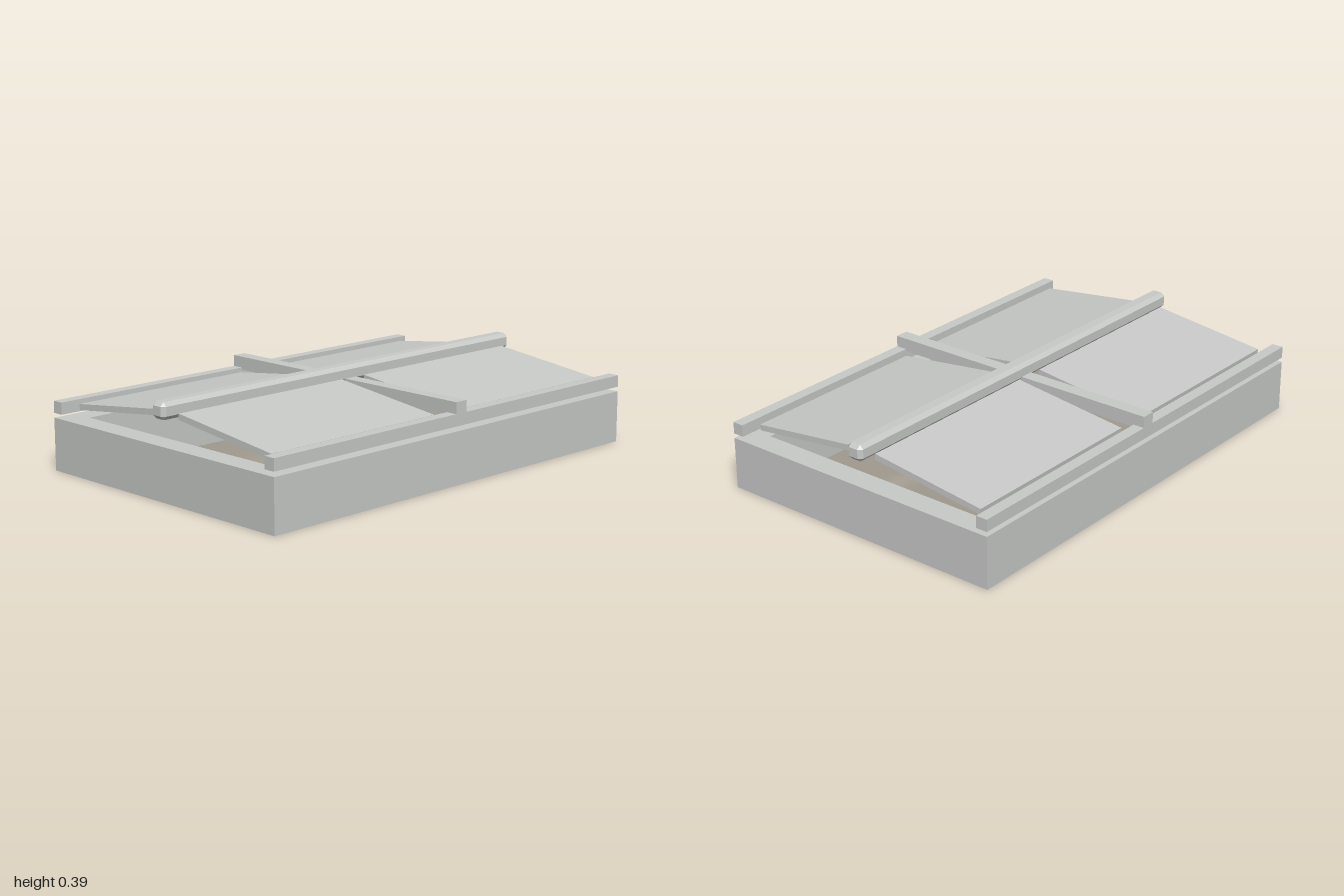
import * as THREE from 'three';
import { ConvexGeometry } from 'three/addons/geometries/ConvexGeometry.js';

// Box with every edge chamfered by c: each face corner is one point of the hull
function chamferedBox(w, h, d, c) {
  const half = [w / 2, h / 2, d / 2];
  const points = [];
  for (let axis = 0; axis < 3; axis++) {
    for (const sx of [-1, 1]) for (const sy of [-1, 1]) for (const sz of [-1, 1]) {
      const p = [sx, sy, sz].map((s, i) => s * (half[i] - (i === axis ? 0 : c)));
      points.push(new THREE.Vector3(...p));
    }
  }
  return new ConvexGeometry(points);
}

export function createModel() {
  const model = new THREE.Group();
  model.name = 'coldFrame';
  const grey = new THREE.MeshStandardMaterial({ color: 0xc8cac8 });
  grey.name = 'light grey';

  function add(name, geometry, x, y, z) {
    const mesh = new THREE.Mesh(geometry, grey);
    mesh.name = name;
    mesh.position.set(x, y, z);
    model.add(mesh);
    return mesh;
  }
  const box = (w, h, d) => new THREE.BoxGeometry(w, h, d);

  // Open rectangular base, walls 0.1 thick
  const outline = new THREE.Shape([
    new THREE.Vector2(-1, -0.65), new THREE.Vector2(1, -0.65),
    new THREE.Vector2(1, 0.65), new THREE.Vector2(-1, 0.65),
  ]);
  outline.holes.push(new THREE.Path([
    new THREE.Vector2(-0.9, -0.55), new THREE.Vector2(-0.9, 0.55),
    new THREE.Vector2(0.9, 0.55), new THREE.Vector2(0.9, -0.55),
  ]));
  const base = new THREE.ExtrudeGeometry(outline, { depth: 0.22, bevelEnabled: false });
  base.rotateX(-Math.PI / 2);
  add('baseFrame', base, 0, 0, 0);

  // Cross bar and ridge beam
  add('crossBar', box(0.06, 0.058, 1.3), 0, 0.309, 0);
  add('ridgeBeam', chamferedBox(2, 0.07, 0.074, 0.016), 0, 0.355, 0);

  // Long rails and the sloping panels on both sides of the ridge
  for (const sz of [-1, 1]) {
    add(sz > 0 ? 'frontRail' : 'backRail', box(2, 0.05, 0.05), 0, 0.265, sz * 0.625);
    for (const sx of [-1, 1]) {
      const name = (sz > 0 ? 'front' : 'back') + (sx > 0 ? 'Left' : 'Right') + 'Panel';
      const panel = add(name, box(0.87, 0.025, 0.52), sx * 0.5, 0.2985, sz * 0.308);
      panel.rotation.x = sz * 0.122;
    }
  }
  return model;
}
